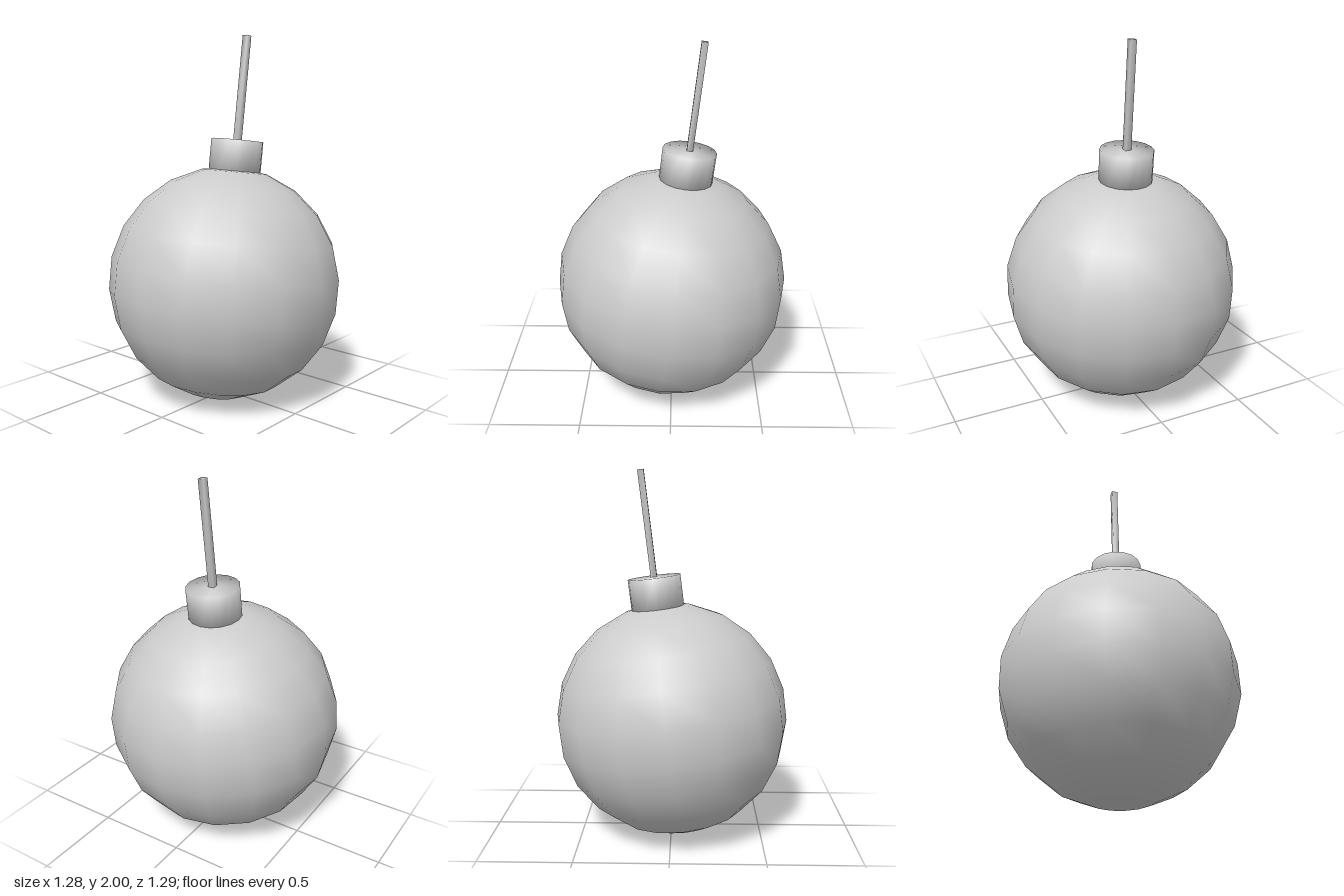
import * as THREE from 'three';
import { mergeVertices } from 'three/addons/utils/BufferGeometryUtils.js';

const RADIUS = 0.645;
const CENTRE_Y = 0.641;
const material = new THREE.MeshStandardMaterial({ color: 0xcccccc });

// Cylinder between two heights, with normals smoothed over its rims
function softCylinder(name, radius, bottom, top, sides, turn = 0) {
  let geometry = new THREE.CylinderGeometry(radius, radius, top - bottom, sides);
  geometry.rotateY(turn);
  geometry.translate(0, (top + bottom) / 2, 0);
  geometry.deleteAttribute('normal');
  geometry.deleteAttribute('uv');
  geometry = mergeVertices(geometry);
  geometry.computeVertexNormals();
  const mesh = new THREE.Mesh(geometry, material);
  mesh.name = name;
  return mesh;
}

export function createModel() {
  const model = new THREE.Group();
  model.name = 'ornament';

  // Everything leans slightly backwards about the centre of the ball
  const tilted = new THREE.Group();
  tilted.name = 'tiltedBody';
  tilted.position.y = CENTRE_Y;
  tilted.rotation.set(THREE.MathUtils.degToRad(-7), 0, THREE.MathUtils.degToRad(-0.75));
  model.add(tilted);

  // Ball
  const ball = new THREE.Mesh(new THREE.SphereGeometry(RADIUS, 16, 11), material);
  ball.name = 'ball';
  tilted.add(ball);

  // Neck collar on the upper pole, and the thin square stem rising from it
  tilted.add(softCylinder('collar', 0.145, 0.618, 0.793, 16));
  tilted.add(softCylinder('stem', 0.024, 0.77, 1.367, 4, Math.PI / 4));

  return model;
}
